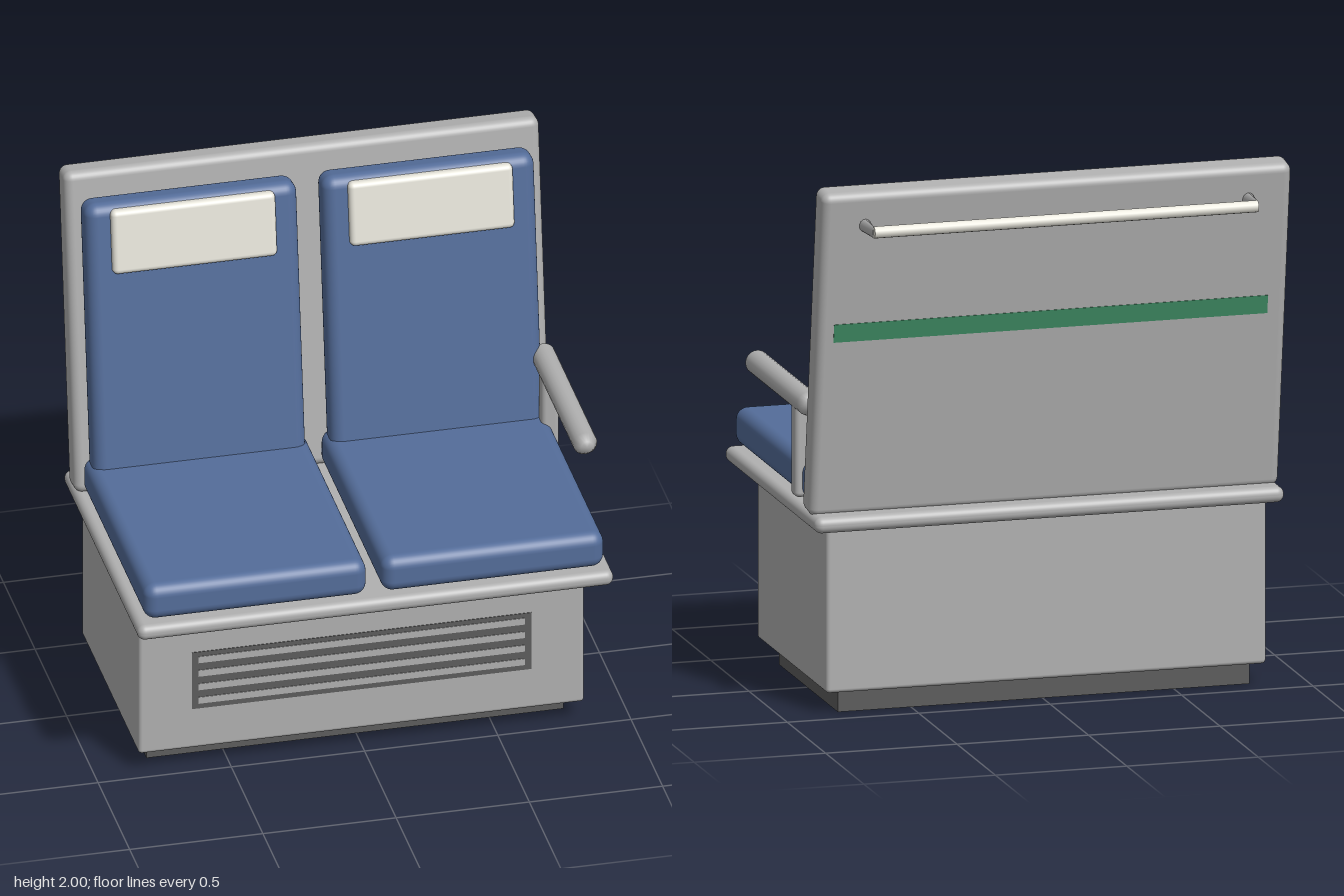
import * as THREE from 'three';
import { RoundedBoxGeometry } from 'three/addons/geometries/RoundedBoxGeometry.js';

const material = (name, color) => {
  const m = new THREE.MeshStandardMaterial({ color });
  m.name = name;
  return m;
};

export function createModel() {
  const grey = material('shell grey', 0xb0b0b0);
  const dark = material('dark grey', 0x5c5c5c);
  const blue = material('blue fabric', 0x546d9a);
  const cream = material('cream', 0xe8e6dc);
  const green = material('green', 0x3e8a62);

  const model = new THREE.Group();
  model.name = 'doubleSeat';
  const CX = -0.004; // middle of the bench body

  const add = (parent, name, geometry, mat, x, y, z) => {
    const mesh = new THREE.Mesh(geometry, mat);
    mesh.name = name;
    mesh.position.set(x, y, z);
    parent.add(mesh);
    return mesh;
  };
  const box = (w, h, d) => new THREE.BoxGeometry(w, h, d);
  const soft = (w, h, d, r) => new RoundedBoxGeometry(w, h, d, 4, r);

  // Pedestal: recessed plinth frame open below, cabinet and deck
  for (const side of [-1, 1]) {
    add(model, 'plinthLongWall', box(1.565, 0.09, 0.01), dark, CX, 0.045, -0.017 + side * 0.3775);
    add(model, 'plinthEndWall', box(0.01, 0.09, 0.745), dark, CX + side * 0.7775, 0.045, -0.017);
  }
  add(model, 'cabinet', soft(1.673, 0.63, 0.908, 0.015), grey, CX, 0.395, 0.017);
  add(model, 'deck', soft(1.785, 0.06, 1.203, 0.028), grey, CX, 0.723, 0.108);

  // Vent grille, almost flush with the cabinet front
  add(model, 'ventPlate', box(1.275, 0.238, 0.004), dark, CX, 0.366, 0.471);
  for (let i = 0; i < 4; i++) {
    add(model, 'ventSlat', box(1.225, 0.027, 0.004), grey, CX, 0.281 + i * 0.057, 0.473);
  }

  // Reclined backrest; its contents use the shell's own axes
  const backrest = new THREE.Group();
  backrest.name = 'backrest';
  backrest.position.set(CX, 1.37, -0.4425);
  backrest.rotation.x = -0.14;
  model.add(backrest);
  add(backrest, 'backShell', soft(1.785, 1.265, 0.117, 0.032), grey, 0, 0, 0);
  add(backrest, 'backStripe', box(1.65, 0.07, 0.004), green, 0.006, 0.09, -0.0585);

  // Two places: seat cushion, back cushion and headrest
  for (const side of [-1, 1]) {
    const x = side * 0.4455;
    add(model, 'seatCushion', soft(0.835, 0.143, 1.01, 0.045), blue, CX + x, 0.833, 0.185);
    add(backrest, 'backCushion', soft(0.797, 1.14, 0.126, 0.045), blue, x, -0.028, 0.12);
    add(backrest, 'headrest', soft(0.617, 0.25, 0.055, 0.02), cream, x, 0.398, 0.182);
  }

  // Armrest on the left side: chamfered bar on a rounded post
  const profile = [[0, -0.365], [0.024, -0.365], [0.045, -0.335],
    [0.045, 0.335], [0.024, 0.365], [0, 0.365]]
    .map(([r, y]) => new THREE.Vector2(r, y));
  const bar = new THREE.LatheGeometry(profile, 20);
  bar.rotateX(Math.PI / 2);
  add(model, 'armrestBar', bar, grey, 0.85, 1.132, 0.072);
  add(model, 'armrestPost', soft(0.066, 0.365, 0.066, 0.018), grey, 0.853, 0.95, -0.182);

  // Grab rail behind the backrest, on brackets that pinch towards the rail
  const rail = new THREE.CylinderGeometry(0.022, 0.022, 1.46, 14);
  rail.rotateZ(Math.PI / 2);
  add(model, 'grabRail', rail, cream, CX, 1.865, -0.687);
  for (const side of [-1, 1]) {
    const bracket = new THREE.CylinderGeometry(0.022, 0.025, 0.13, 14);
    const p = bracket.attributes.position;
    for (let i = 0; i < p.count; i++) {
      if (p.getY(i) > 0) p.setX(i, p.getX(i) * 0.1);
    }
    bracket.rotateX(-Math.PI / 2);
    bracket.computeVertexNormals();
    add(model, 'railBracket', bracket, grey, CX + side * 0.729, 1.865, -0.62);
  }

  return model;
}
